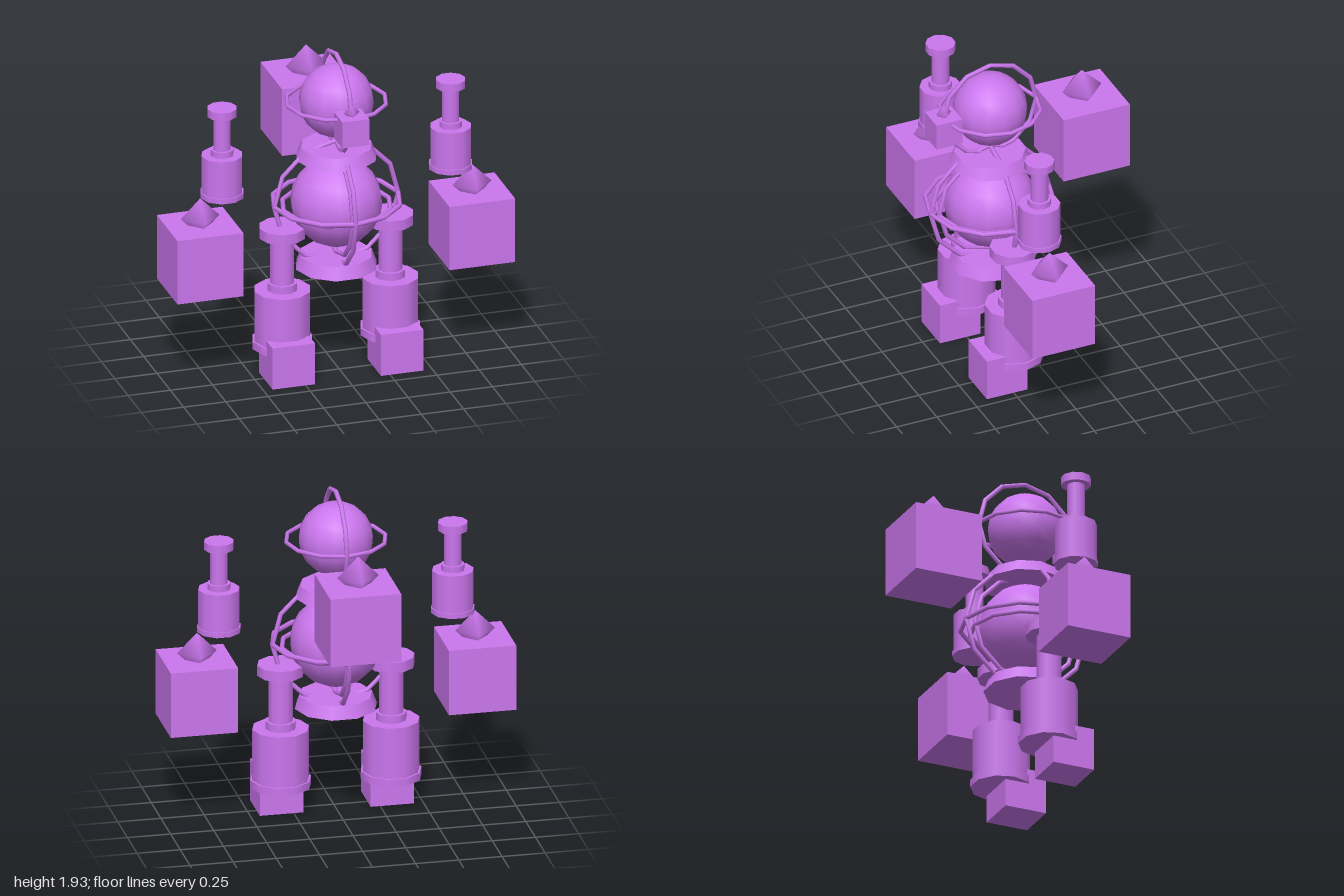
import * as THREE from 'three';

const material = new THREE.MeshStandardMaterial({ color: 0xcb76ee });
const Z = 0.195; // depth of the body axis

function add(parent, name, geometry, x = 0, y = 0, z = 0) {
  const mesh = new THREE.Mesh(geometry, material);
  mesh.name = name;
  mesh.position.set(x, y, z);
  parent.add(mesh);
  return mesh;
}

// Ten-sided drum between two heights, with corners on the x axis
function drum(parent, name, rBottom, rTop, y0, y1) {
  const geometry = new THREE.CylinderGeometry(rTop, rBottom, y1 - y0, 10).rotateY(Math.PI / 2);
  return add(parent, name, geometry, 0, (y0 + y1) / 2, 0);
}

// Twelve-sided hoop: axis 'y' lies flat, 'x' runs front to back, 'z' side to side
function hoop(parent, name, radius, tube, y, axis) {
  const geometry = new THREE.TorusGeometry(radius, tube, 6, 12);
  if (axis === 'y') geometry.rotateX(Math.PI / 2);
  if (axis === 'x') geometry.rotateY(Math.PI / 2);
  return add(parent, name, geometry, 0, y, 0);
}

// Cube with a pointed knob sunk into its top
function knobCube(parent, name, size, x, y, z) {
  const group = new THREE.Group();
  group.name = name;
  group.position.set(x, y, z);
  add(group, name + 'Block', new THREE.BoxGeometry(size, size, size));
  add(group, name + 'Knob', new THREE.SphereGeometry(size * 0.295, 4, 2), 0, size * 0.61, 0);
  parent.add(group);
}

// Stacked piston, given as rows of [part, radius, bottom, top]
function piston(parent, name, x, rows) {
  const group = new THREE.Group();
  group.name = name;
  group.position.set(x, 0, Z);
  for (const [part, r, y0, y1] of rows) drum(group, name + part, r, r, y0, y1);
  parent.add(group);
}

export function createModel() {
  const model = new THREE.Group();
  model.name = 'robot';

  // Head with two crossing hoops
  const head = new THREE.Group();
  head.name = 'head';
  head.position.z = Z;
  add(head, 'headBall', new THREE.SphereGeometry(0.214, 14, 10), 0, 1.635, 0);
  hoop(head, 'headFlatHoop', 0.287, 0.012, 1.633, 'y');
  hoop(head, 'headUprightHoop', 0.287, 0.014, 1.633, 'x');
  model.add(head);

  // Torso ball in a cage, between collar and base
  const torso = new THREE.Group();
  torso.name = 'torso';
  torso.position.z = Z;
  add(torso, 'torsoBall', new THREE.SphereGeometry(0.263, 14, 10), 0, 1.015, 0);
  drum(torso, 'collar', 0.235, 0.205, 1.29, 1.36);
  drum(torso, 'base', 0.238, 0.21, 0.62, 0.695);
  hoop(torso, 'cageFlatHoop', 0.367, 0.014, 1.02, 'y');
  hoop(torso, 'cageFrontHoop', 0.367, 0.014, 1.02, 'z');
  hoop(torso, 'cageSideHoop', 0.367, 0.014, 1.02, 'x');
  hoop(torso, 'innerFlatHoop', 0.312, 0.014, 0.992, 'y');
  hoop(torso, 'innerSideHoop', 0.312, 0.014, 1.015, 'x');
  model.add(torso);

  // Snout and backpack
  knobCube(model, 'snout', 0.16, 0, 1.58, 0.482);
  knobCube(model, 'backpack', 0.41, 0, 1.37, -0.375);

  // Mirrored limbs
  for (const [side, s] of [['left', 1], ['right', -1]]) {
    piston(model, side + 'Arm', s * 0.677, [
      ['Flange', 0.127, 1.135, 1.165],
      ['Barrel', 0.12, 1.15, 1.39],
      ['Neck', 0.067, 1.38, 1.425],
      ['Rod', 0.051, 1.42, 1.64],
      ['Cap', 0.086, 1.63, 1.678],
    ]);
    knobCube(model, side + 'Hand', 0.39, s * 0.805, 0.78, 0.19);
    piston(model, side + 'Leg', s * 0.32, [
      ['Flange', 0.176, 0.165, 0.21],
      ['Barrel', 0.164, 0.2, 0.515],
      ['Neck', 0.088, 0.51, 0.56],
      ['Rod', 0.071, 0.55, 0.85],
      ['Cap', 0.135, 0.84, 0.902],
    ]);
    knobCube(model, side + 'Foot', 0.252, s * 0.321, 0.127, 0.29);
  }
  return model;
}
